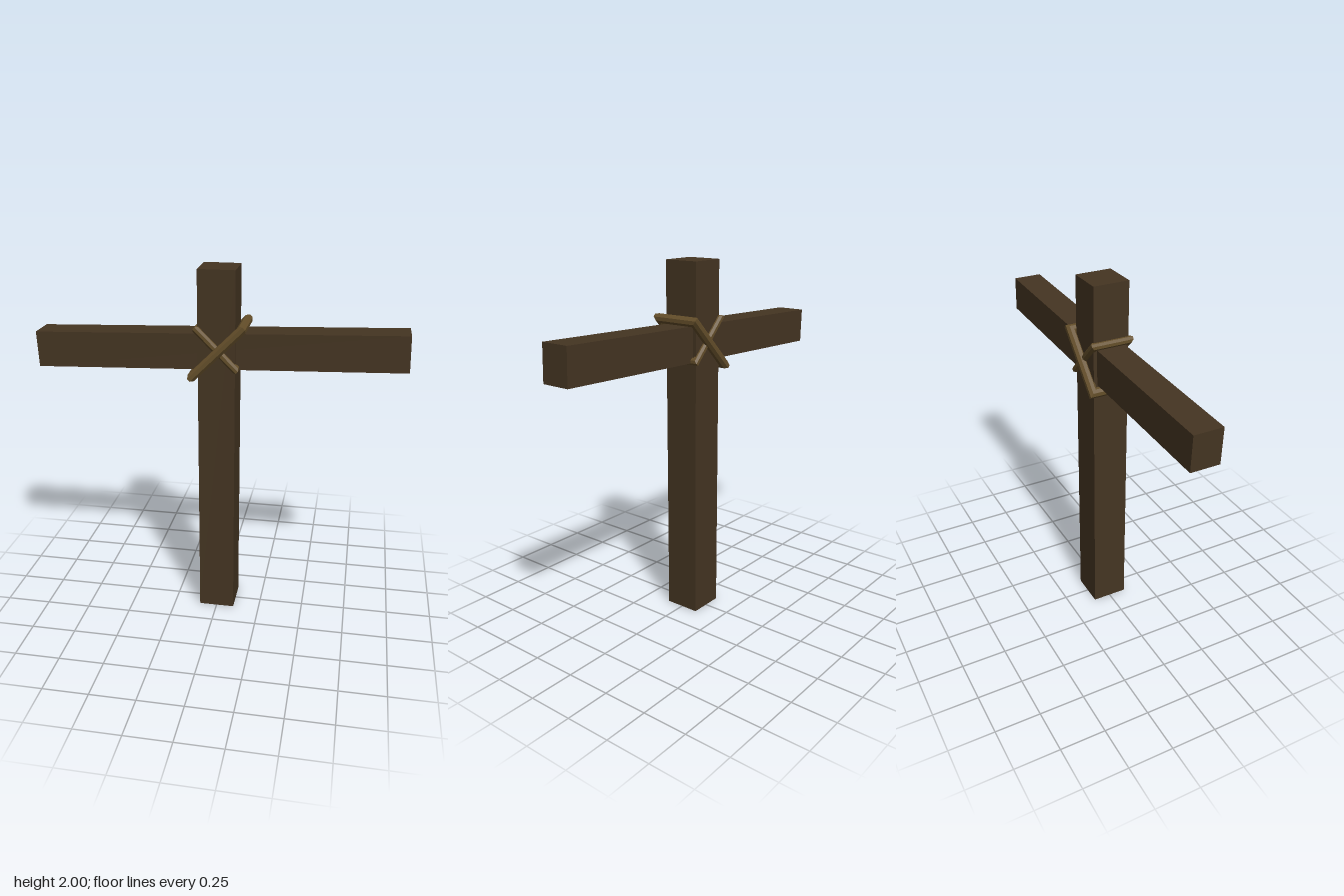
import * as THREE from 'three';

const wood = new THREE.MeshStandardMaterial({ color: 0x453522, flatShading: true });
wood.name = 'dark wood';
const rope = new THREE.MeshStandardMaterial({ color: 0x654f2a, flatShading: true });
rope.name = 'rope';

// Rectangular loop of eight-sided cord with mitred corners, lying in the xz plane
function cordLoop(halfX, halfZ, radius, sides = 8) {
  const corners = [[1, 1], [-1, 1], [-1, -1], [1, -1]];
  const point = (i, j) => {
    const [sx, sz] = corners[i % 4];
    const a = ((j + 0.5) / sides) * Math.PI * 2;
    const out = radius * Math.cos(a);
    return [sx * (halfX + out), radius * Math.sin(a), sz * (halfZ + out)];
  };
  const positions = [];
  for (let i = 0; i < 4; i++) {
    for (let j = 0; j < sides; j++) {
      const a = point(i, j), b = point(i, j + 1);
      const c = point(i + 1, j + 1), d = point(i + 1, j);
      positions.push(...a, ...b, ...c, ...a, ...c, ...d);
    }
  }
  const geometry = new THREE.BufferGeometry();
  geometry.setAttribute('position', new THREE.Float32BufferAttribute(positions, 3));
  geometry.computeVertexNormals();
  return geometry;
}

export function createModel() {
  const model = new THREE.Group();
  model.name = 'lashedPost';

  const add = (name, geometry, material, x, y, tilt) => {
    const mesh = new THREE.Mesh(geometry, material);
    mesh.name = name;
    mesh.position.set(x, y, 0);
    mesh.rotation.z = tilt;
    model.add(mesh);
  };

  // Upright post and slightly tilted crossbeam
  add('post', new THREE.BoxGeometry(0.2, 2, 0.2), wood, 0, 1, 0);
  add('crossbeam', new THREE.BoxGeometry(1.994, 0.195, 0.16), wood, 0, 1.565, 0.035);

  // Diagonal lashings around the joint
  add('outerLashing', cordLoop(0.183, 0.117, 0.026), rope, 0.004, 1.565, Math.PI / 4);
  add('innerLashing', cordLoop(0.143, 0.1, 0.021), rope, -0.002, 1.582, -Math.PI / 4);

  return model;
}
